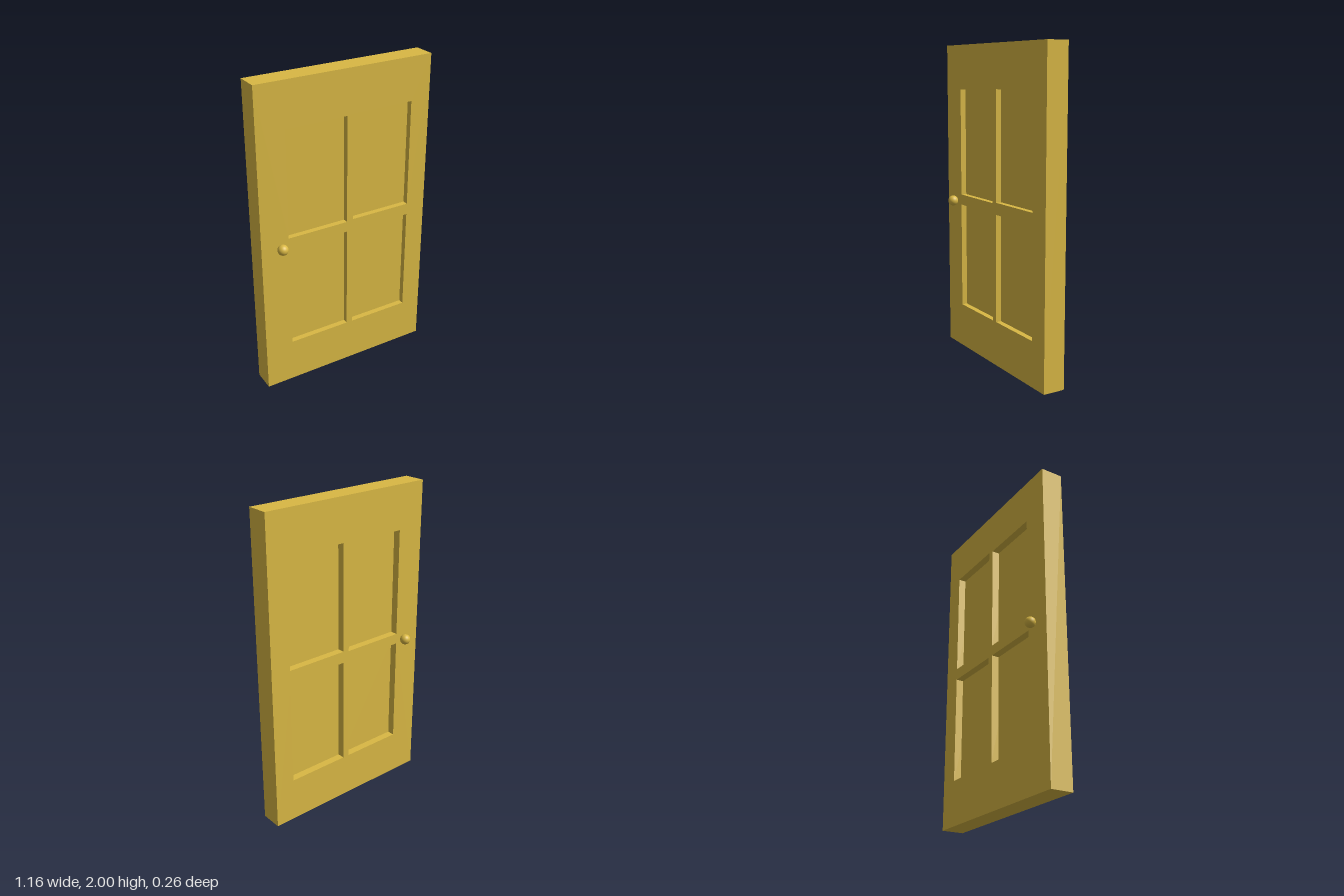
import * as THREE from 'three';

export function createModel() {
  const door = new THREE.Group();
  door.name = 'door';
  const material = new THREE.MeshStandardMaterial({ color: 0xd9b844 });
  const front = 0.066, back = -0.074;

  const add = (name, geometry, x, y, z) => {
    const mesh = new THREE.Mesh(geometry, material);
    mesh.name = name;
    mesh.position.set(x, y, z);
    door.add(mesh);
  };
  const trace = (path, x0, x1, y0, y1) =>
    path.moveTo(x0, y0).lineTo(x1, y0).lineTo(x1, y1).lineTo(x0, y1).closePath();

  // Openings: x0, x1, y0, y1
  const openings = [
    ['upperRightPanel', -0.4, 0.003, 1.035, 1.72],
    ['upperLeftPanel', 0.045, 0.45, 1.043, 1.728],
    ['lowerRightPanel', -0.4, 0.003, 0.285, 0.968],
    ['lowerLeftPanel', 0.045, 0.45, 0.285, 0.968],
  ];

  // Frame with four openings
  const outline = new THREE.Shape();
  trace(outline, -0.58, 0.58, 0, 2);
  for (const [, ...rect] of openings) {
    const hole = new THREE.Path();
    trace(hole, ...rect);
    outline.holes.push(hole);
  }
  add('frame', new THREE.ExtrudeGeometry(outline, { depth: front - back, bevelEnabled: false }), 0, 0, back);

  // Panels recessed from both faces
  const panelFront = front - 0.036, panelBack = back + 0.048;
  for (const [name, x0, x1, y0, y1] of openings) {
    const panel = new THREE.BoxGeometry(x1 - x0, y1 - y0, panelFront - panelBack);
    add(name, panel, (x0 + x1) / 2, (y0 + y1) / 2, (panelFront + panelBack) / 2);
  }

  // A round knob on each face
  const knob = new THREE.SphereGeometry(0.033, 32, 20);
  add('frontKnob', knob, -0.456, 0.99, 0.098);
  add('backKnob', knob, -0.456, 0.99, -0.099);

  return door;
}
